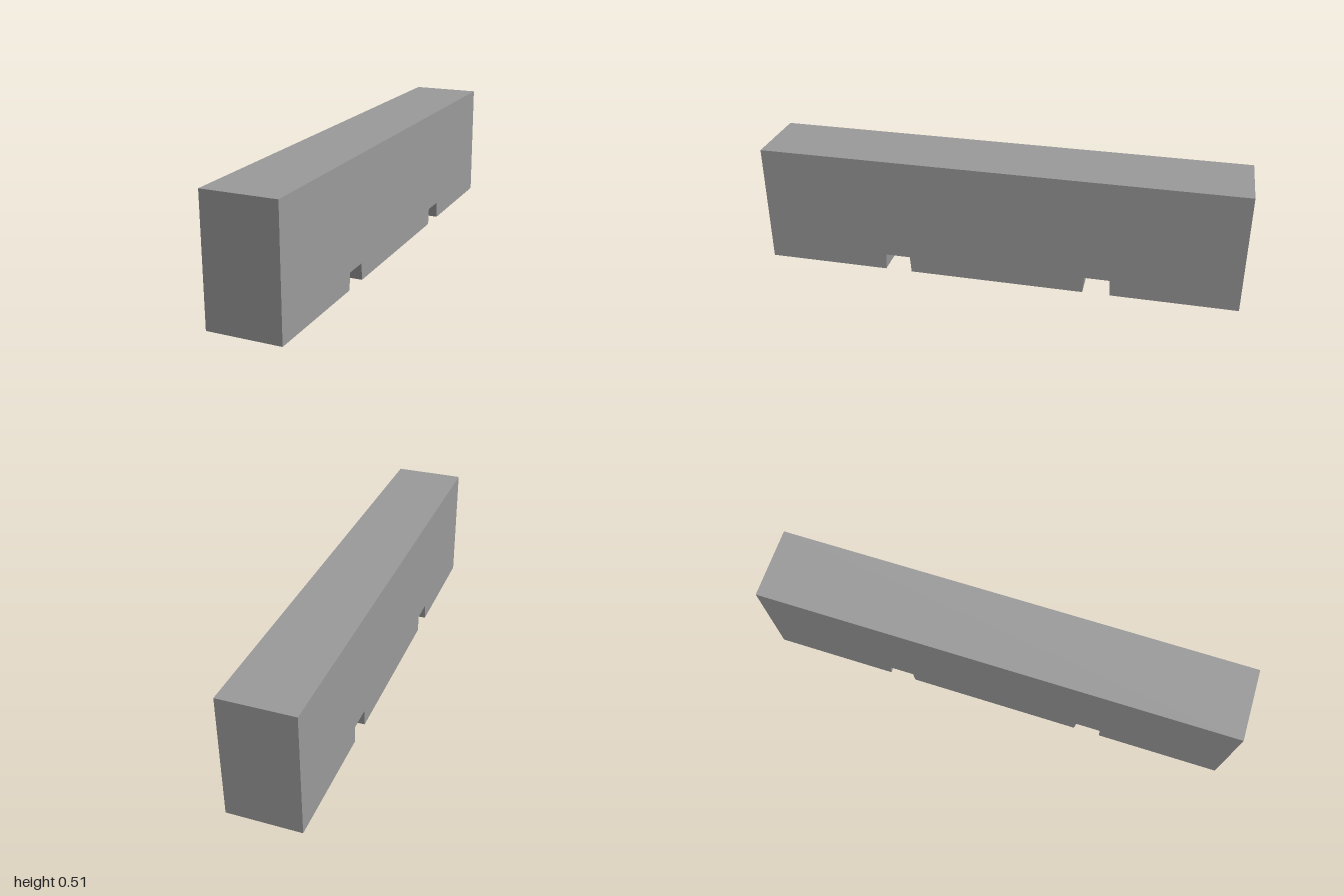
import * as THREE from 'three';

const WIDTH = 0.298, HEIGHT = 0.507, HALF_LENGTH = 1;
const SLOT = { centre: 0.425, halfBottom: 0.057, halfTop: 0.052, depth: 0.07 };

export function createModel() {
  const group = new THREE.Group();
  group.name = 'slottedBarrier';

  // Side profile: a long block with two tapered slots in its underside
  const profile = new THREE.Shape();
  profile.moveTo(-HALF_LENGTH, 0);
  for (const side of [-1, 1]) {
    const c = side * SLOT.centre;
    profile.lineTo(c - SLOT.halfBottom, 0);
    profile.lineTo(c - SLOT.halfTop, SLOT.depth);
    profile.lineTo(c + SLOT.halfTop, SLOT.depth);
    profile.lineTo(c + SLOT.halfBottom, 0);
  }
  profile.lineTo(HALF_LENGTH, 0);
  profile.lineTo(HALF_LENGTH, HEIGHT);
  profile.lineTo(-HALF_LENGTH, HEIGHT);
  profile.closePath();

  // Extrude across the width, then turn the length onto z
  const geometry = new THREE.ExtrudeGeometry(profile, { depth: WIDTH, bevelEnabled: false });
  geometry.translate(0, 0, -WIDTH / 2);
  geometry.rotateY(Math.PI / 2);

  const block = new THREE.Mesh(
    geometry,
    new THREE.MeshStandardMaterial({ color: 0x9b9b9b, flatShading: true })
  );
  block.name = 'block';
  group.add(block);
  return group;
}
